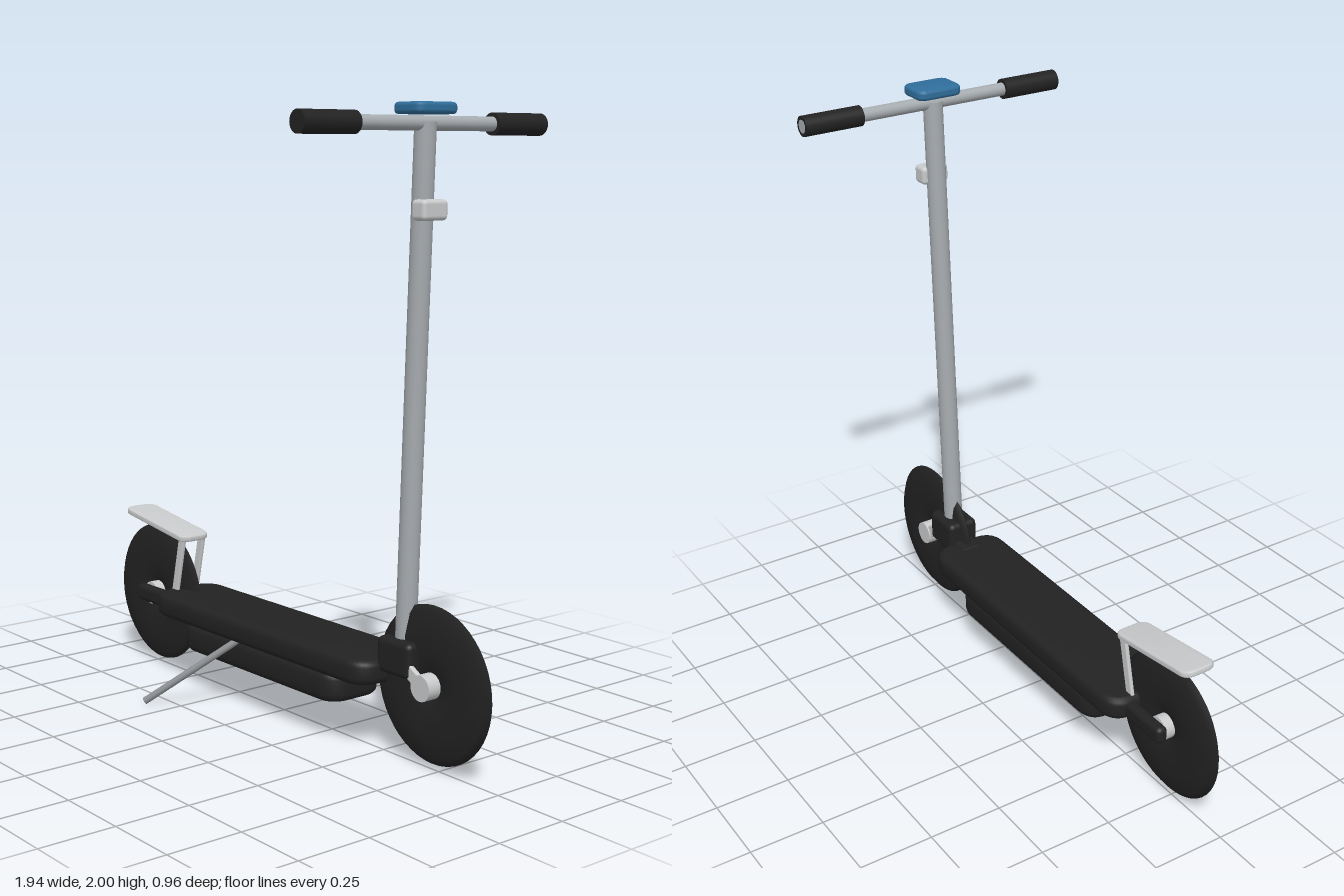
import * as THREE from 'three';
import { RoundedBoxGeometry } from 'three/addons/geometries/RoundedBoxGeometry.js';
import { toCreasedNormals } from 'three/addons/utils/BufferGeometryUtils.js';

const paint = (name, color) => {
  const m = new THREE.MeshStandardMaterial({ color });
  m.name = name;
  return m;
};

export function createModel() {
  const black = paint('black', 0x222222);
  const silver = paint('silver', 0xa6abaf);
  const pale = paint('pale grey', 0xc8cacb);
  const steel = paint('steel', 0x8e9194);
  const blue = paint('blue', 0x2f6e9b);

  const model = new THREE.Group();
  model.name = 'kickScooter';

  const add = (name, geometry, material, x = 0, y = 0, z = 0) => {
    const mesh = new THREE.Mesh(geometry, material);
    mesh.name = name;
    mesh.position.set(x, y, z);
    model.add(mesh);
    return mesh;
  };

  // Soft-edged box given by its centre and size
  const block = (name, material, [x, y, z], [w, h, d], r = 0.012) =>
    add(name, new RoundedBoxGeometry(w, h, d, 3, r), material, x, y, z);

  // Round bar between two points
  const bar = (name, material, from, to, r0, r1 = r0) => {
    const a = new THREE.Vector3(...from), b = new THREE.Vector3(...to);
    const mesh = add(name, new THREE.CylinderGeometry(r1, r0, a.distanceTo(b), 24), material);
    mesh.position.copy(a).lerp(b, 0.5);
    mesh.quaternion.setFromUnitVectors(new THREE.Vector3(0, 1, 0), b.sub(a).normalize());
    return mesh;
  };

  // Horizontal slab with rounded plan corners and bevelled rims
  const slab = (name, material, [x, y, z], [w, h, d], corner, bevel) => {
    const hw = w / 2 - bevel, hd = d / 2 - bevel, c = corner;
    const s = new THREE.Shape();
    s.moveTo(-hw + c, -hd);
    s.lineTo(hw - c, -hd);
    s.quadraticCurveTo(hw, -hd, hw, -hd + c);
    s.lineTo(hw, hd - c);
    s.quadraticCurveTo(hw, hd, hw - c, hd);
    s.lineTo(-hw + c, hd);
    s.quadraticCurveTo(-hw, hd, -hw, hd - c);
    s.lineTo(-hw, -hd + c);
    s.quadraticCurveTo(-hw, -hd, -hw + c, -hd);
    const depth = h - 2 * bevel;
    const g = new THREE.ExtrudeGeometry(s, {
      depth, bevelThickness: bevel, bevelSize: bevel, bevelSegments: 3, curveSegments: 8,
    });
    g.translate(0, 0, -depth / 2);
    g.rotateX(-Math.PI / 2);
    return add(name, toCreasedNormals(g, 0.6), material, x, y, z);
  };

  // Wheels: flattened rings with hubs
  for (const [side, x] of [['rear', -0.725], ['front', 0.722]]) {
    const tyre = new THREE.TorusGeometry(0.138, 0.11, 10, 48);
    tyre.scale(1, 1, 0.23);
    add(side + 'Wheel', tyre, black, x, 0.265, 0);
    const half = side === 'front' ? 0.057 : 0.045;
    bar(side + 'Hub', pale, [x, 0.265, -half], [x, 0.265, half], 0.041);
  }

  // Deck and battery case
  slab('deck', black, [-0.03, 0.27, 0], [1.14, 0.08, 0.264], 0.06, 0.022);
  slab('batteryCase', black, [-0.035, 0.182, 0], [0.83, 0.1, 0.226], 0.05, 0.025);
  const neck = block('neck', black, [0.55, 0.297, 0], [0.18, 0.055, 0.08], 0.015);
  neck.rotation.z = 0.15;
  block('steeringBlock', black, [0.597, 0.33, 0], [0.15, 0.115, 0.115], 0.02);

  // Rear arms, fender stays and front fork blades
  for (const s of [-1, 1]) {
    block('rearArm', black, [-0.65, 0.267, s * 0.058], [0.24, 0.06, 0.042], 0.018);
    const stay = block('fenderStay', pale, [-0.55, 0.4, s * 0.042], [0.032, 0.22, 0.014], 0.005);
    stay.rotation.z = -0.22;
    const blade = block('forkBlade', pale, [0.665, 0.298, s * 0.042], [0.14, 0.045, 0.018], 0.006);
    blade.rotation.z = -0.53;
  }

  // Rear fender
  const fender = slab('fender', pale, [-0.685, 0.528, 0], [0.375, 0.022, 0.124], 0.03, 0.008);
  fender.rotation.z = -0.14;

  // Kickstand
  bar('kickstand', steel, [-0.12, 0.235, 0.1], [-0.346, 0.01, 0.332], 0.012);

  // Steering column, clamp and handlebar
  bar('stem', silver, [0.595, 0.34, 0], [0.657, 1.945, 0], 0.033);
  block('stemClamp', pale, [0.679, 1.69, 0], [0.06, 0.062, 0.1], 0.014);
  bar('handlebar', silver, [0.657, 1.94, -0.481], [0.657, 1.94, 0.478], 0.022);
  for (const s of [-1, 1])
    bar('grip', black, [0.657, 1.94, s * 0.272], [0.657, 1.94, s * 0.48], 0.034);

  // Display
  slab('display', blue, [0.657, 1.983, 0], [0.125, 0.035, 0.165], 0.02, 0.012);

  return model;
}
